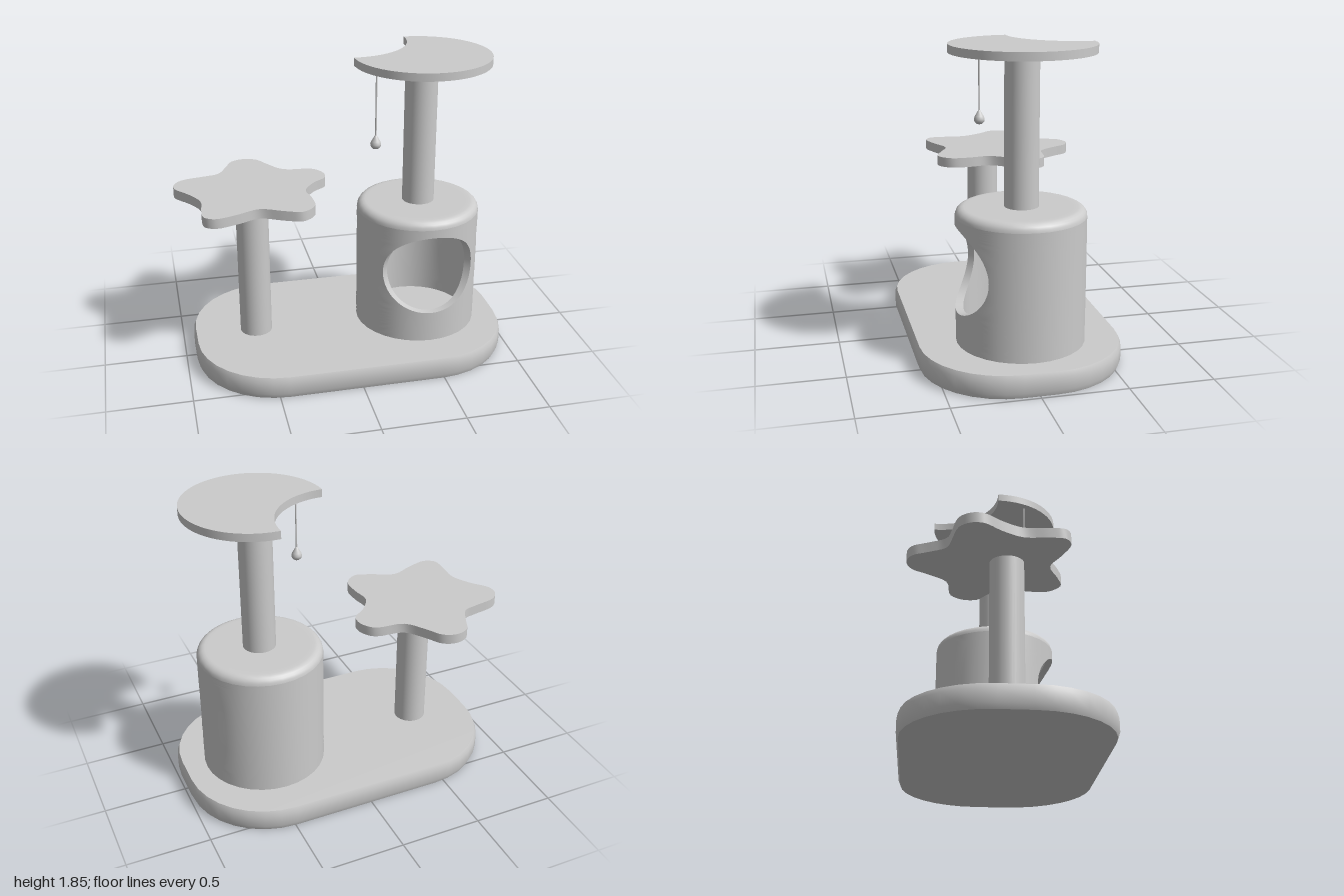
import * as THREE from 'three';
import { toCreasedNormals } from 'three/addons/utils/BufferGeometryUtils.js';

const material = new THREE.MeshStandardMaterial({ color: 0xcccccc });
const doubleSided = new THREE.MeshStandardMaterial({ color: 0xcccccc, side: THREE.DoubleSide });

function part(name, geometry, x = 0, y = 0, z = 0, mat = material) {
  const mesh = new THREE.Mesh(geometry, mat);
  mesh.name = name;
  mesh.position.set(x, y, z);
  return mesh;
}

// Flat board from a shape drawn as (x, -z), lying on y = 0
function board(shape, height, curveSegments, bevel = 0) {
  const rise = bevel * 2.5;
  const geometry = new THREE.ExtrudeGeometry(shape, {
    depth: height - 2 * rise, curveSegments, bevelEnabled: bevel > 0,
    bevelSize: bevel, bevelOffset: -bevel, bevelThickness: rise, bevelSegments: 1,
  });
  geometry.rotateX(-Math.PI / 2).translate(0, rise, 0);
  return toCreasedNormals(geometry, 0.6);
}

// Base outline: rectangle with large, coarsely faceted corners
function baseShape(hx, hz, r) {
  const s = new THREE.Shape();
  [[1, 1], [-1, 1], [-1, -1], [1, -1]].forEach(([sx, sz], i) => {
    const a = i * Math.PI / 2;
    s.absarc(sx * (hx - r), sz * (hz - r), r, a, a + Math.PI / 2, false);
  });
  s.closePath();
  return s;
}

// Soft five-armed star outline in (x, z)
function starShape() {
  const outline = [
    [-0.53, -0.58], [-0.45, -0.55], [-0.395, -0.465], [-0.305, -0.35], [-0.13, -0.32],
    [-0.073, -0.24], [-0.08, -0.16], [-0.155, -0.1], [-0.23, 0.01], [-0.215, 0.13],
    [-0.22, 0.25], [-0.3, 0.32], [-0.4, 0.29], [-0.54, 0.23], [-0.67, 0.28],
    [-0.8, 0.315], [-0.86, 0.28], [-0.868, 0.19], [-0.86, 0.05], [-0.92, -0.07],
    [-0.995, -0.17], [-0.995, -0.24], [-0.945, -0.3], [-0.8, -0.335], [-0.715, -0.36],
    [-0.655, -0.465], [-0.61, -0.55],
  ];
  const s = new THREE.Shape();
  const pts = outline.map(([x, z]) => new THREE.Vector2(x, -z));
  const curve = new THREE.CatmullRomCurve3(pts.map(p => new THREE.Vector3(p.x, p.y, 0)), true);
  s.setFromPoints(curve.getPoints(108).slice(0, -1).map(p => new THREE.Vector2(p.x, p.y)));
  return s;
}

// Disc with a circular bite taken out of its back left
function crescentShape(R, cx, cy, r) {
  const d = Math.hypot(cx, cy), dir = Math.atan2(cy, cx);
  const a = Math.acos((d * d + R * R - r * r) / (2 * d * R));
  const b = Math.acos((d * d + r * r - R * R) / (2 * d * r));
  const s = new THREE.Shape();
  s.absarc(0, 0, R, dir + a, dir - a + Math.PI * 2, false);
  s.absarc(cx, cy, r, dir + Math.PI + b, dir + Math.PI - b, true);
  s.closePath();
  return s;
}

// Grid of rows x columns of points, with normals given by the rule
function gridGeometry(rows, cols, rule, flip) {
  const pos = [], nor = [], idx = [];
  for (let j = 0; j <= rows; j++) {
    for (let i = 0; i <= cols; i++) {
      const { p, n } = rule(j / rows, i);
      pos.push(...p);
      nor.push(...n);
      if (j === rows || i === cols) continue;
      const a = j * (cols + 1) + i, b = a + 1, c = a + cols + 1, d = c + 1;
      idx.push(...(flip ? [a, b, c, b, d, c] : [a, c, b, b, c, d]));
    }
  }
  const g = new THREE.BufferGeometry();
  g.setAttribute('position', new THREE.Float32BufferAttribute(pos, 3));
  g.setAttribute('normal', new THREE.Float32BufferAttribute(nor, 3));
  g.setIndex(idx);
  return g;
}

// Hollow round den with an oval doorway cut through its wall
function createDen() {
  const den = new THREE.Group();
  den.name = 'den';
  const outer = 0.375, inner = 0.33, y0 = 0.135, y1 = 0.88, side = 32, n = side * 4;
  const door = i => {
    const t = -0.75 * Math.PI + i / n * Math.PI * 2;
    return [0.84 * Math.cos(t), 0.578 + 0.252 * Math.sin(t)];
  };
  // Border of the unrolled wall, walked side by side from its lower left corner
  const border = i => {
    const k = Math.floor(i / side) % 4, f = (i % side) / side;
    const u = [f, 1, 1 - f, 0][k], v = [0, f, 1, 1 - f][k];
    return [(2 * u - 1) * Math.PI, y0 + (y1 - y0) * v];
  };
  const wall = (r, sign) => gridGeometry(12, n, (f, i) => {
    const a = door(i), b = border(i);
    const t = a[0] + (b[0] - a[0]) * f, y = a[1] + (b[1] - a[1]) * f;
    return { p: [r * Math.sin(t), y, r * Math.cos(t)], n: [sign * Math.sin(t), 0, sign * Math.cos(t)] };
  }, sign < 0);
  const rim = gridGeometry(1, n, (f, i) => {
    const [t, y] = door(i), r = outer + (inner - outer) * f;
    const w = -0.75 * Math.PI + i / n * Math.PI * 2, c = -Math.cos(w);
    return { p: [r * Math.sin(t), y, r * Math.cos(t)], n: [c * Math.cos(t), -Math.sin(w), -c * Math.sin(t)] };
  }, true);

  // Roof with a rounded edge
  const profile = [];
  for (let k = 0; k <= 5; k++) {
    const a = k / 5 * Math.PI / 2;
    profile.push(new THREE.Vector2(outer - 0.05 + 0.05 * Math.cos(a), y1 + 0.05 * Math.sin(a)));
  }
  profile.push(new THREE.Vector2(0.3, y1 + 0.05), new THREE.Vector2(0, y1 + 0.05));

  den.add(
    part('denOuterWall', wall(outer, 1)),
    part('denInnerWall', wall(inner, -1)),
    part('doorwayRim', rim, 0, 0, 0, doubleSided),
    part('denRoof', new THREE.LatheGeometry(profile, 32)),
    part('denCeiling', new THREE.CircleGeometry(inner, 32).rotateX(Math.PI / 2), 0, y1, 0),
  );
  den.position.set(0.475, 0, -0.015);
  return den;
}

// Dangling toy: cord with a teardrop at its end
function createToy() {
  const toy = new THREE.Group();
  toy.name = 'hangingToy';
  const drop = [[0, 0], [0.018, 0.006], [0.029, 0.018], [0.032, 0.033], [0.026, 0.05],
    [0.014, 0.07], [0.006, 0.085], [0, 0.09]].map(([x, y]) => new THREE.Vector2(x, y));
  toy.add(
    part('toyCord', new THREE.CylinderGeometry(0.005, 0.005, 0.39, 8), 0, 1.605, 0),
    part('toyDrop', new THREE.LatheGeometry(drop, 20), 0, 1.342, 0),
  );
  toy.position.set(0.16, 0, 0.155);
  return toy;
}

export function createModel() {
  const model = new THREE.Group();
  model.name = 'catTree';
  const post = (name, x, y0, y1) => part(name,
    new THREE.CylinderGeometry(0.098, 0.098, y1 - y0, 32), x, (y0 + y1) / 2, -0.017);

  model.add(
    part('base', board(baseShape(0.965, 0.595, 0.5), 0.135, 4, 0.012), 0.025, 0, -0.003),
    post('lowPost', -0.555, 0.13, 1.005),
    part('starPlatform', board(starShape(), 0.06, 12), 0, 1.0, 0),
    createDen(),
    post('tallPost', 0.478, 0.925, 1.802),
    part('crescentPlatform', board(crescentShape(0.41, -0.39, 0.39, 0.39), 0.047, 40), 0.48, 1.798, -0.02),
    createToy(),
  );
  return model;
}
